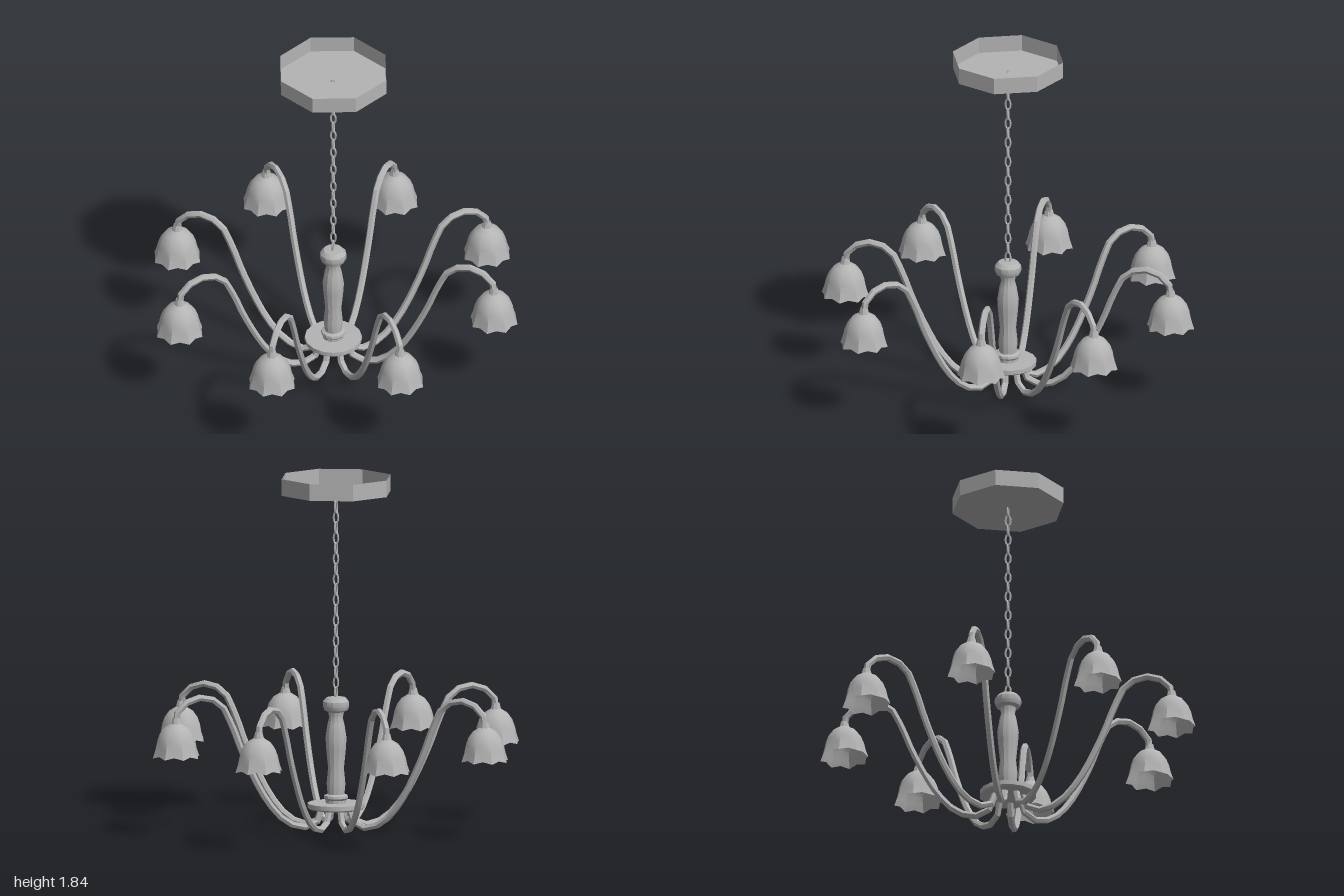
import * as THREE from 'three';
import { toCreasedNormals } from 'three/addons/utils/BufferGeometryUtils.js';

const metal = new THREE.MeshStandardMaterial({ color: 0xb4b4b4, side: THREE.DoubleSide });
metal.name = 'grey metal';

function part(name, geometry, crease = 0.5) {
  const mesh = new THREE.Mesh(toCreasedNormals(geometry, crease), metal);
  mesh.name = name;
  return mesh;
}

function lathe(points, sides) {
  return new THREE.LatheGeometry(points.map(([r, y]) => new THREE.Vector2(r, y)), sides);
}

// Scalloped bell: eight pointed lobes that deepen towards the rim
function shadeGeometry() {
  const top = 0.6, bottom = 0.415;
  const g = lathe([[0.127, bottom], [0.113, 0.455], [0.104, 0.495], [0.088, 0.535],
    [0.062, 0.57], [0.03, 0.59], [0.012, top]], 16);
  const p = g.attributes.position;
  for (let i = 0; i < p.count; i++) {
    const x = p.getX(i), y = p.getY(i), z = p.getZ(i);
    const valley = (1 - Math.cos(8 * Math.atan2(x, z))) / 2;
    const k = valley * (top - y) / (top - bottom);
    const s = 1 - 0.1 * k;
    p.setXYZ(i, x * s, y + 0.012 * k, z * s);
  }
  return g;
}

// One oval chain link standing upright
function linkGeometry() {
  const path = [];
  for (let i = 0; i < 8; i++) {
    const a = (i + 0.5) * Math.PI / 4;
    path.push(new THREE.Vector3(0.0135 * Math.cos(a), 0.031 * Math.sin(a), 0));
  }
  return new THREE.TubeGeometry(new THREE.CatmullRomCurve3(path, true), 10, 0.0055, 5, true);
}

export function createModel() {
  const model = new THREE.Group();
  model.name = 'chandelier';

  // Ceiling plate: shallow octagonal tray, open at the top
  model.add(part('ceilingPlate', lathe([[0, 1.758], [0.295, 1.758], [0.295, 1.845]], 8)));

  // Chain with every other link turned a quarter
  const chain = new THREE.Group();
  chain.name = 'chain';
  const link = linkGeometry();
  const count = 20, low = 0.715, high = 1.74;
  for (let i = 0; i < count; i++) {
    const mesh = part('chainLink', link, 0.9);
    mesh.position.y = low + (high - low) * i / (count - 1);
    mesh.rotation.y = Math.PI / 4 + (i % 2) * Math.PI / 2;
    chain.add(mesh);
  }
  model.add(chain);

  // Turned centre column with a knob on top
  model.add(part('column', lathe([[0, 0.135], [0.055, 0.135], [0.055, 0.155], [0.064, 0.165],
    [0.062, 0.178], [0.045, 0.185], [0.05, 0.24], [0.042, 0.32], [0.052, 0.42], [0.056, 0.48],
    [0.045, 0.55], [0.036, 0.585], [0.042, 0.615], [0.062, 0.625], [0.07, 0.645], [0.068, 0.67],
    [0.05, 0.69], [0.022, 0.693], [0, 0.693]], 12)));

  // Round plate that carries the arms
  model.add(part('armPlate', lathe([[0, 0.108], [0.14, 0.108], [0.148, 0.115], [0.148, 0.138],
    [0, 0.14]], 16)));

  // Arms sweep down from the plate, then out and over to each shade
  const armPath = new THREE.CatmullRomCurve3([
    [0.078, 0.115], [0.092, 0.06], [0.13, 0.025], [0.2, 0.022], [0.285, 0.065], [0.38, 0.175],
    [0.5, 0.405], [0.57, 0.58], [0.63, 0.685], [0.73, 0.722], [0.825, 0.69], [0.862, 0.645],
    [0.868, 0.575],
  ].map(([x, y]) => new THREE.Vector3(x, y, 0)));
  const armShape = new THREE.TubeGeometry(armPath, 18, 0.018, 6);
  const cup = lathe([[0.034, 0.572], [0.027, 0.596], [0.019, 0.625]], 8);
  const shade = shadeGeometry();

  // The arm at the front left is set slightly off the even spacing
  for (const degrees of [0, 45, 90, 135, 180, 225, 270, 320]) {
    const arm = new THREE.Group();
    arm.name = 'lampArm';
    arm.add(part('armTube', armShape, 0.4));
    const lamp = new THREE.Group();
    lamp.name = 'lamp';
    lamp.add(part('shade', shade, 0.6), part('shadeCup', cup));
    lamp.position.x = 0.868;
    arm.add(lamp);
    arm.rotation.y = THREE.MathUtils.degToRad(degrees);
    model.add(arm);
  }
  return model;
}
